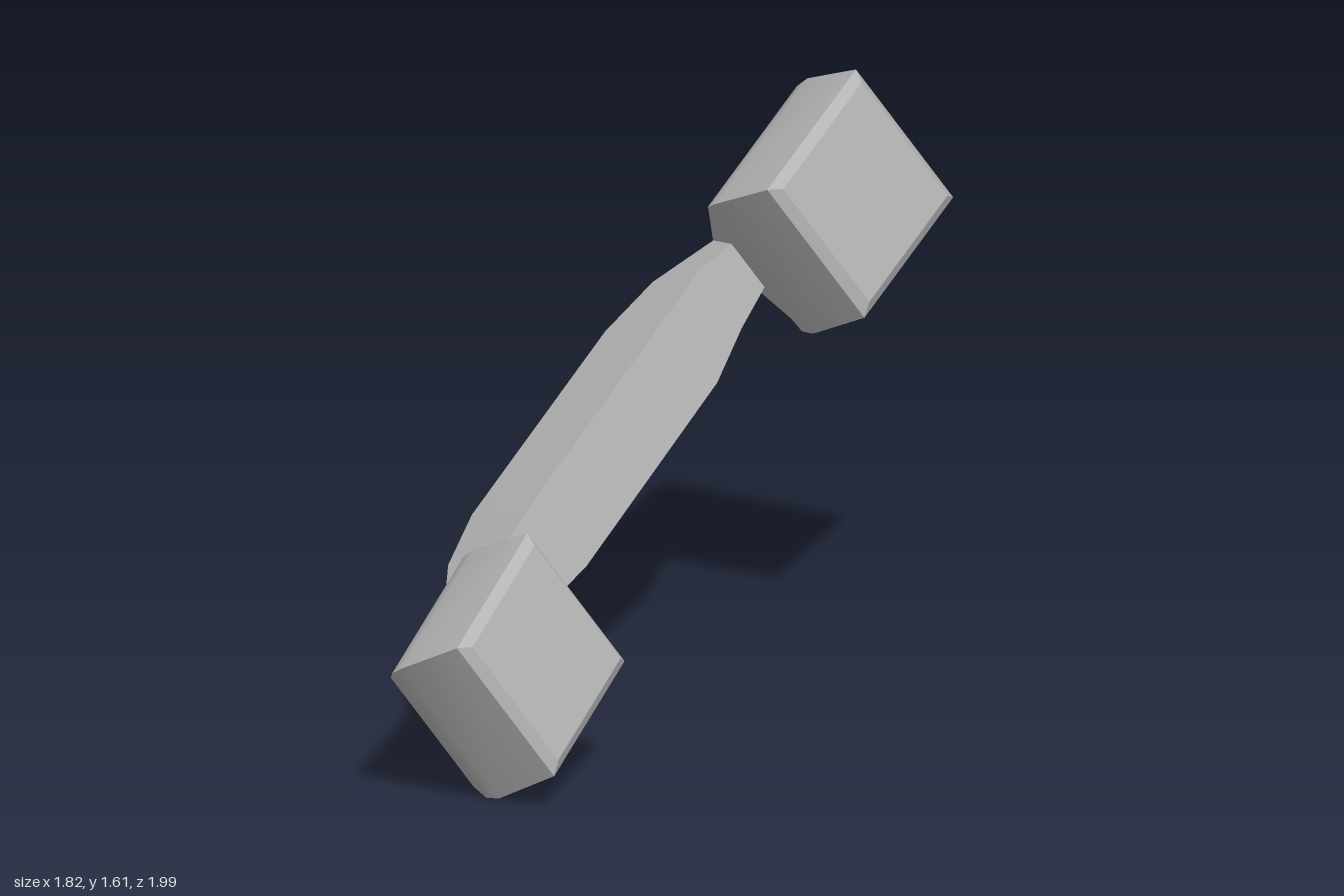
import * as THREE from 'three';
import { toCreasedNormals } from 'three/addons/utils/BufferGeometryUtils.js';

// Skin a list of four-cornered rings, closing both ends.
// Rings run against the axis; corners run anticlockwise seen from its tip.
function loft(rings) {
  const index = [];
  for (let r = 0; r < rings.length - 1; r++) {
    for (let i = 0; i < 4; i++) {
      const a = r * 4 + i, b = r * 4 + (i + 1) % 4;
      index.push(a, a + 4, b + 4, a, b + 4, b);
    }
  }
  const e = (rings.length - 1) * 4;
  index.push(0, 1, 2, 0, 2, 3, e, e + 2, e + 1, e, e + 3, e + 2);
  const geo = new THREE.BufferGeometry();
  geo.setAttribute('position', new THREE.Float32BufferAttribute(rings.flat(2), 3));
  geo.setIndex(index);
  return toCreasedNormals(geo, 0.6);
}

// Earpiece / mouthpiece: bevelled face, bulging sides, back tapering to the grip (+x side).
function cupGeometry() {
  const profile = [ // x min, x max, half width, depth
    [-0.23, 0.23, 0.212, 0.022],
    [-0.26, 0.26, 0.24, 0],
    [-0.272, 0.272, 0.243, -0.207],
    [-0.262, 0.262, 0.233, -0.252],
    [-0.229, 0.229, 0.205, -0.295],
    [0.13, 0.16, 0.07, -0.44],
  ];
  return loft(profile.map(([x0, x1, h, z]) =>
    [[x1, h, z], [x0, h, z], [x0, -h, z], [x1, -h, z]]));
}

// Grip: bar that narrows and bends forward at both ends.
function gripGeometry() {
  const stations = [ // x, half width, front z, back z
    [1.195, 0.068, 0.045, -0.09],
    [0.982, 0.108, 0.02, -0.168],
    [0.755, 0.125, 0.065, -0.19],
    [-0.042, 0.127, 0.083, -0.177],
    [-0.245, 0.108, 0.068, -0.148],
    [-0.52, 0.075, 0.09, -0.005],
  ];
  return loft(stations.map(([x, h, f, b]) =>
    [[x, h, f], [x, -h, f], [x, -h, b], [x, h, b]]));
}

export function createModel() {
  const grey = new THREE.MeshStandardMaterial({ color: 0xb3b3b3 });
  grey.name = 'grey';

  // Handset in its own frame: x along the grip, z out of the faces.
  const handset = new THREE.Group();
  handset.name = 'handset';
  const add = (name, geo, x, y, z) => {
    const mesh = new THREE.Mesh(geo, grey);
    mesh.name = name;
    mesh.position.set(x, y, z);
    handset.add(mesh);
    return mesh;
  };
  add('grip', gripGeometry(), 0, 0.638, 0);
  const cup = cupGeometry();
  add('upperCup', cup, 1.342, 0.647, 0.355).rotation.z = Math.PI;
  add('lowerCup', cup, -0.648, 0.631, 0.425).rotation.y = 0.14;

  // Lay the handset diagonally.
  const along = new THREE.Vector3(0.58, 0.4545, -0.677).normalize();
  const out = new THREE.Vector3(0.574, 0.3625, 0.735).normalize();
  const across = new THREE.Vector3().crossVectors(out, along).normalize();
  out.crossVectors(along, across);
  handset.quaternion.setFromRotationMatrix(new THREE.Matrix4().makeBasis(along, across, out));

  const model = new THREE.Group();
  model.name = 'telephoneHandset';
  model.add(handset);
  return model;
}
